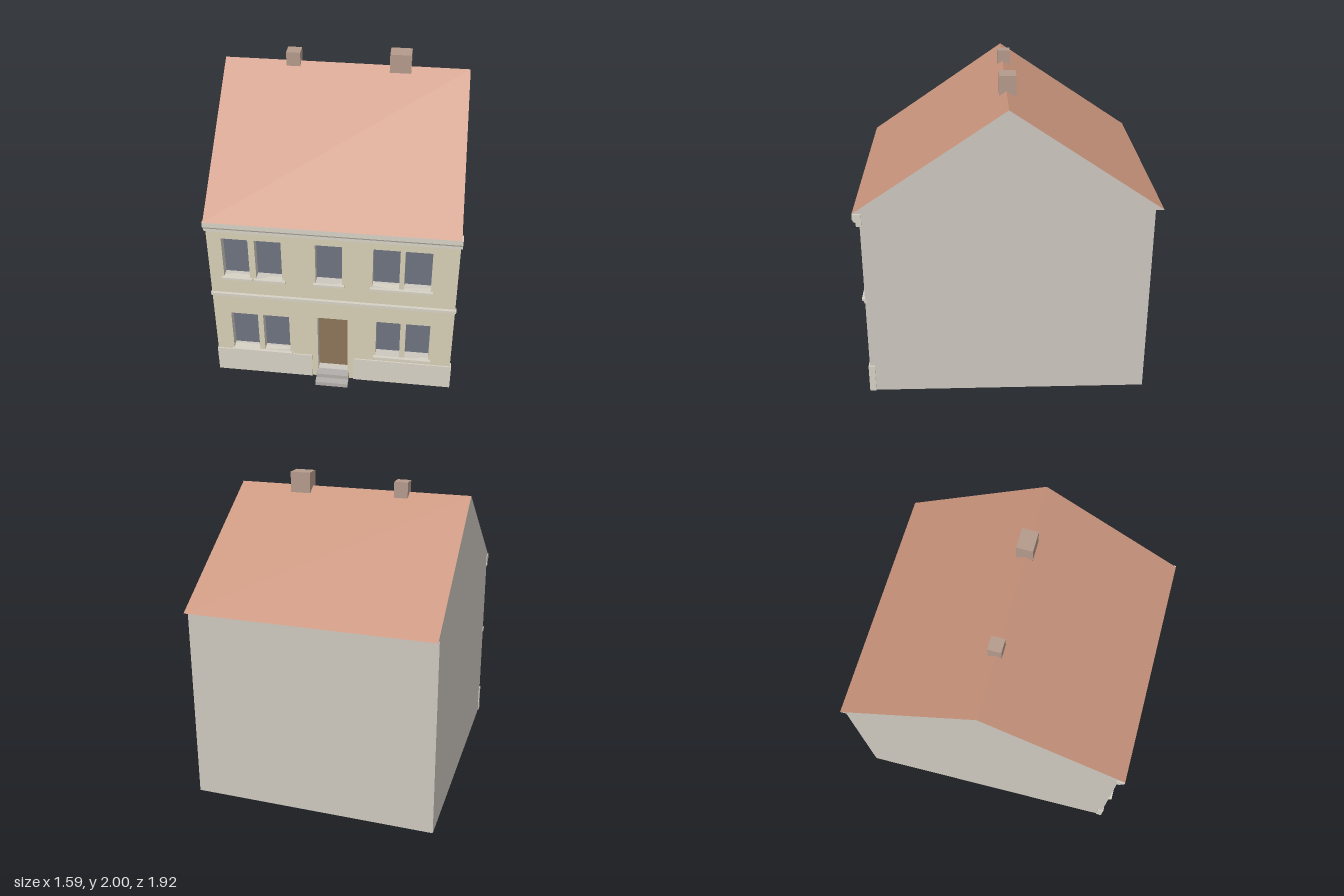
import * as THREE from 'three';

const mat = (color) => new THREE.MeshStandardMaterial({ color });
const M = {
  facade: mat(0xd6cdb4), wall: mat(0xccc7be), trim: mat(0xd6d1c4), roof: mat(0xc8937b),
  glass: mat(0x6d727e), door: mat(0x8c7459), chimney: mat(0xb3998b), step: mat(0xb2aeaa),
};
const RIGHT = 0.785, FRONT = 0.872, BACK = -0.905, RECESS = 0.81;
const EAVE = 1.27, RIDGE = 1.905, RIDGE_Z = -0.02;
// the -x side wall splays outward toward the back
const sideX = (z) => -0.76 - 0.022 * (FRONT - z);

export function createModel() {
  const house = new THREE.Group();
  house.name = 'house';

  const add = (name, geometry, material) => {
    const mesh = new THREE.Mesh(geometry, material);
    mesh.name = name;
    house.add(mesh);
    return mesh;
  };
  const box = (name, material, x0, x1, y0, y1, z0, z1) => {
    const g = new THREE.BoxGeometry(x1 - x0, y1 - y0, z1 - z0);
    g.translate((x0 + x1) / 2, (y0 + y1) / 2, (z0 + z1) / 2);
    return add(name, g, material).geometry;
  };
  // flat polygon given by its corners, counter-clockwise from outside
  const face = (name, material, ...corners) => {
    const pts = [];
    for (let i = 1; i < corners.length - 1; i++) pts.push(...corners[0], ...corners[i], ...corners[i + 1]);
    const g = new THREE.BufferGeometry();
    g.setAttribute('position', new THREE.Float32BufferAttribute(pts, 3));
    g.computeVertexNormals();
    add(name, g, material);
  };
  // moulding: (z, y) profile swept along x
  const moulding = (name, x0, x1, profile) => {
    const shape = new THREE.Shape(profile.map(([z, y]) => new THREE.Vector2(z, y)));
    const g = new THREE.ExtrudeGeometry(shape, { depth: x1 - x0, bevelEnabled: false });
    g.rotateY(-Math.PI / 2).translate(x1, 0, 0);
    add(name, g, M.trim);
  };

  // Main body, skewed to the uneven plot
  const body = box('body', M.wall, -0.8, RIGHT, 0, EAVE, BACK, RECESS);
  const p = body.attributes.position;
  for (let i = 0; i < p.count; i++) {
    if (p.getX(i) > 0) continue;
    if (p.getZ(i) < 0) p.setZ(i, BACK - 0.01);
    p.setX(i, sideX(p.getZ(i)));
  }
  body.computeVertexNormals();

  // Openings: x0, x1, y0, y1
  const windows = [
    ...[[-0.67, -0.505], [-0.465, -0.3], [-0.09, 0.075], [0.265, 0.43], [0.46, 0.625]]
      .map(([a, b]) => [a, b, 0.825, 1.125]),
    ...[[-0.65, -0.475], [-0.44, -0.27]].map(([a, b]) => [a, b, 0.205, 0.515]),
    ...[[0.295, 0.45], [0.485, 0.64]].map(([a, b]) => [a, b, 0.235, 0.535]),
  ];
  const door = [-0.085, 0.11, 0.06, 0.53];
  const rect = (S, x0, x1, y0, y1) => new S([[x0, y0], [x1, y0], [x1, y1], [x0, y1]]
    .map(([x, y]) => new THREE.Vector2(x, y)));

  // Front wall with recessed openings
  const front = rect(THREE.Shape, -0.76, RIGHT, 0, EAVE);
  front.holes = [...windows, door].map((o) => rect(THREE.Path, ...o));
  const frontGeo = new THREE.ExtrudeGeometry(front, { depth: FRONT - RECESS, bevelEnabled: false });
  frontGeo.translate(0, 0, RECESS);
  add('frontWall', frontGeo, [M.facade, M.wall]);
  for (const w of windows) box('windowPane', M.glass, ...w, RECESS - 0.01, RECESS + 0.004);
  box('door', M.door, ...door, RECESS - 0.01, RECESS + 0.004);

  // Window sills
  const sills = [
    [-0.685, -0.49, 0.81], [-0.48, -0.28, 0.81], [-0.105, 0.09, 0.81], [0.25, 0.64, 0.81],
    [-0.66, -0.255, 0.19], [0.28, 0.655, 0.22],
  ];
  for (const [a, b, y] of sills) box('windowSill', M.trim, a, b, y, y + 0.015, RECESS + 0.02, 0.89);

  // Plinth on both sides of the door, and door steps
  box('plinth', M.trim, -0.765, -0.125, 0, 0.19, RECESS + 0.03, 0.88);
  box('plinth', M.trim, 0.15, 0.794, 0, 0.19, RECESS + 0.03, 0.88);
  box('lowerStep', M.step, -0.095, 0.12, 0, 0.03, 0.86, 0.96);
  box('upperStep', M.step, -0.095, 0.12, 0.03, 0.06, 0.86, 0.915);

  // Mouldings on the front
  moulding('stringCourse', -0.765, 0.792,
    [[0.86, 0.66], [0.877, 0.66], [0.877, 0.672], [0.89, 0.682], [0.89, 0.692], [0.86, 0.692]]);
  moulding('cornice', -0.765, 0.793,
    [[0.86, 1.19], [0.893, 1.19], [0.893, 1.215], [0.905, 1.22], [0.914, 1.235], [0.914, 1.269], [0.86, 1.269]]);

  // Roof slopes, gables and the underside of the eaves
  const zf = 0.915, zb = -0.957;
  const fl = [sideX(zf), EAVE, zf], fr = [RIGHT, EAVE, zf];
  const bl = [sideX(zb), EAVE, zb], br = [RIGHT, EAVE, zb];
  const rl = [sideX(RIDGE_Z), RIDGE, RIDGE_Z], rr = [RIGHT, RIDGE, RIDGE_Z];
  face('frontRoofSlope', M.roof, fl, fr, rr, rl);
  face('backRoofSlope', M.roof, br, bl, rl, rr);
  face('leftGable', M.wall, fr, br, rr);
  face('rightGable', M.wall, bl, fl, rl);
  face('eavesUnderside', M.wall, fl, bl, br, fr);

  // Chimneys on the ridge
  box('smallChimney', M.chimney, -0.38, -0.29, 1.8, 1.975, -0.07, 0.015);
  box('largeChimney', M.chimney, 0.28, 0.415, 1.8, 2.0, -0.08, 0.025);
  return house;
}
